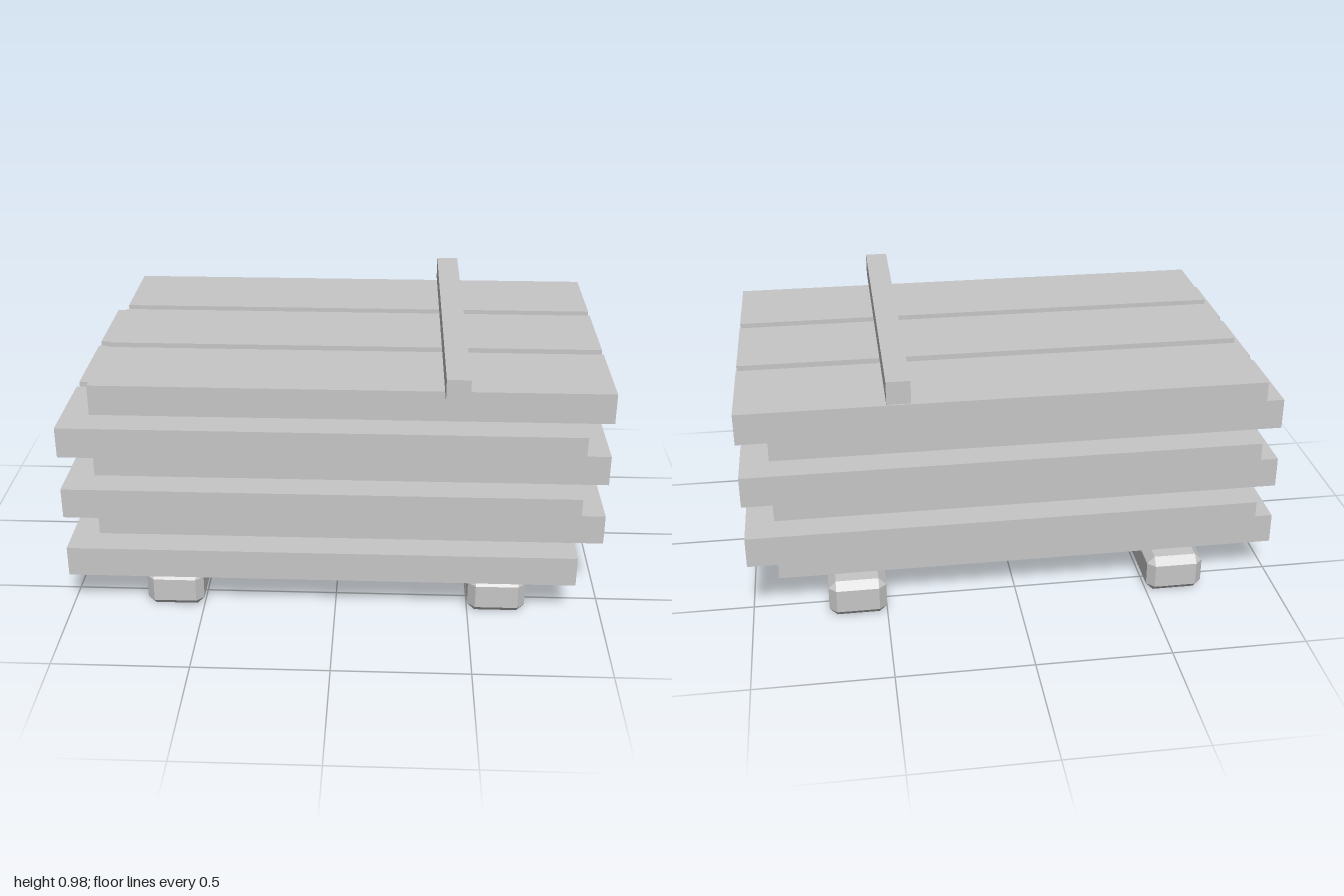
import * as THREE from 'three';
import { ConvexGeometry } from 'three/addons/geometries/ConvexGeometry.js';

const grey = new THREE.MeshStandardMaterial({ color: 0xc6c6c6 });
grey.name = 'plainGrey';

// Box with every edge and corner cut flat
function chamferedBox(w, h, d, c) {
  const points = [];
  for (const sx of [-1, 1]) for (const sy of [-1, 1]) for (const sz of [-1, 1]) {
    const x = w / 2, y = h / 2, z = d / 2;
    points.push(
      new THREE.Vector3(sx * x, sy * (y - c), sz * (z - c)),
      new THREE.Vector3(sx * (x - c), sy * y, sz * (z - c)),
      new THREE.Vector3(sx * (x - c), sy * (y - c), sz * z)
    );
  }
  return new ConvexGeometry(points);
}

export function createModel() {
  const model = new THREE.Group();
  model.name = 'plankStack';

  const add = (parent, name, geometry, x, y, z) => {
    const mesh = new THREE.Mesh(geometry, grey);
    mesh.name = name;
    mesh.position.set(x, y, z);
    parent.add(mesh);
  };

  // Two chamfered bearers on the ground
  const bearer = chamferedBox(0.215, 0.147, 1.24, 0.028);
  add(model, 'rightBearer', bearer, -0.608, 0.0735, 0);
  add(model, 'leftBearer', bearer, 0.608, 0.0735, 0);

  // Six layers of three planks, alternately shifted along x and z
  const plank = new THREE.BoxGeometry(1.895, 0.116, 0.364);
  for (let layer = 0; layer < 6; layer++) {
    const shift = layer % 2 ? 1 : -1;
    const row = new THREE.Group();
    row.name = `plankLayer${layer + 1}`;
    for (let i = -1; i <= 1; i++) {
      add(row, 'plank', plank, shift * 0.0525, 0.205 + layer * 0.124, i * 0.409 - shift * 0.05);
    }
    model.add(row);
  }

  // Loose batten across the top
  add(model, 'topBatten', new THREE.BoxGeometry(0.086, 0.086, 1.31), 0.432, 0.936, 0);

  return model;
}
